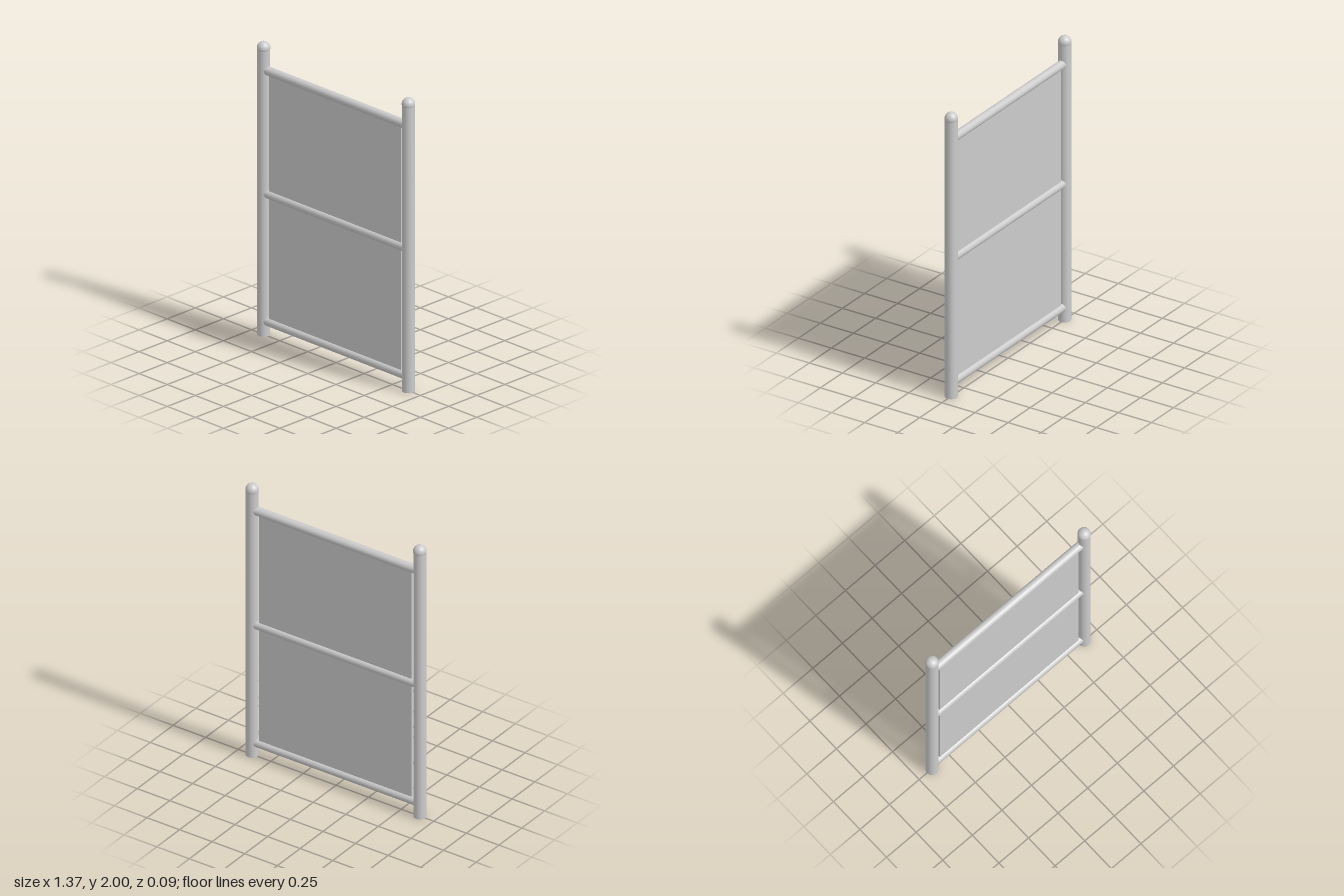
import * as THREE from 'three';

export function createModel() {
  const group = new THREE.Group();
  const material = new THREE.MeshStandardMaterial({ color: 0xcccccc });
  const postX = 0.643, postRadius = 0.041, capRadius = 0.043, capY = 2 - capRadius;
  const railHeights = [0.1, 0.97, 1.81];

  const add = (name, geometry, x, y) => {
    const mesh = new THREE.Mesh(geometry, material);
    mesh.name = name;
    mesh.position.set(x, y, 0);
    group.add(mesh);
    return mesh;
  };

  // Upright posts with ball caps
  const postGeometry = new THREE.CylinderGeometry(postRadius, postRadius, capY, 32);
  const capGeometry = new THREE.SphereGeometry(capRadius, 32, 20);
  for (const [side, sign] of [['left', 1], ['right', -1]]) {
    add(`${side}Post`, postGeometry, sign * postX, capY / 2);
    add(`${side}PostCap`, capGeometry, sign * postX, capY);
  }

  // Horizontal rails running into the posts
  const railGeometry = new THREE.CylinderGeometry(0.029, 0.029, postX * 2 - 0.03, 32);
  railGeometry.rotateZ(Math.PI / 2);
  ['bottomRail', 'middleRail', 'topRail'].forEach((name, i) => add(name, railGeometry, 0, railHeights[i]));

  // Thin panels filling the two bays, with a small gap beside each post
  ['lowerPanel', 'upperPanel'].forEach((name, i) => {
    const low = railHeights[i], high = railHeights[i + 1];
    add(name, new THREE.BoxGeometry(1.17, high - low, 0.02), 0, (low + high) / 2);
  });

  return group;
}
